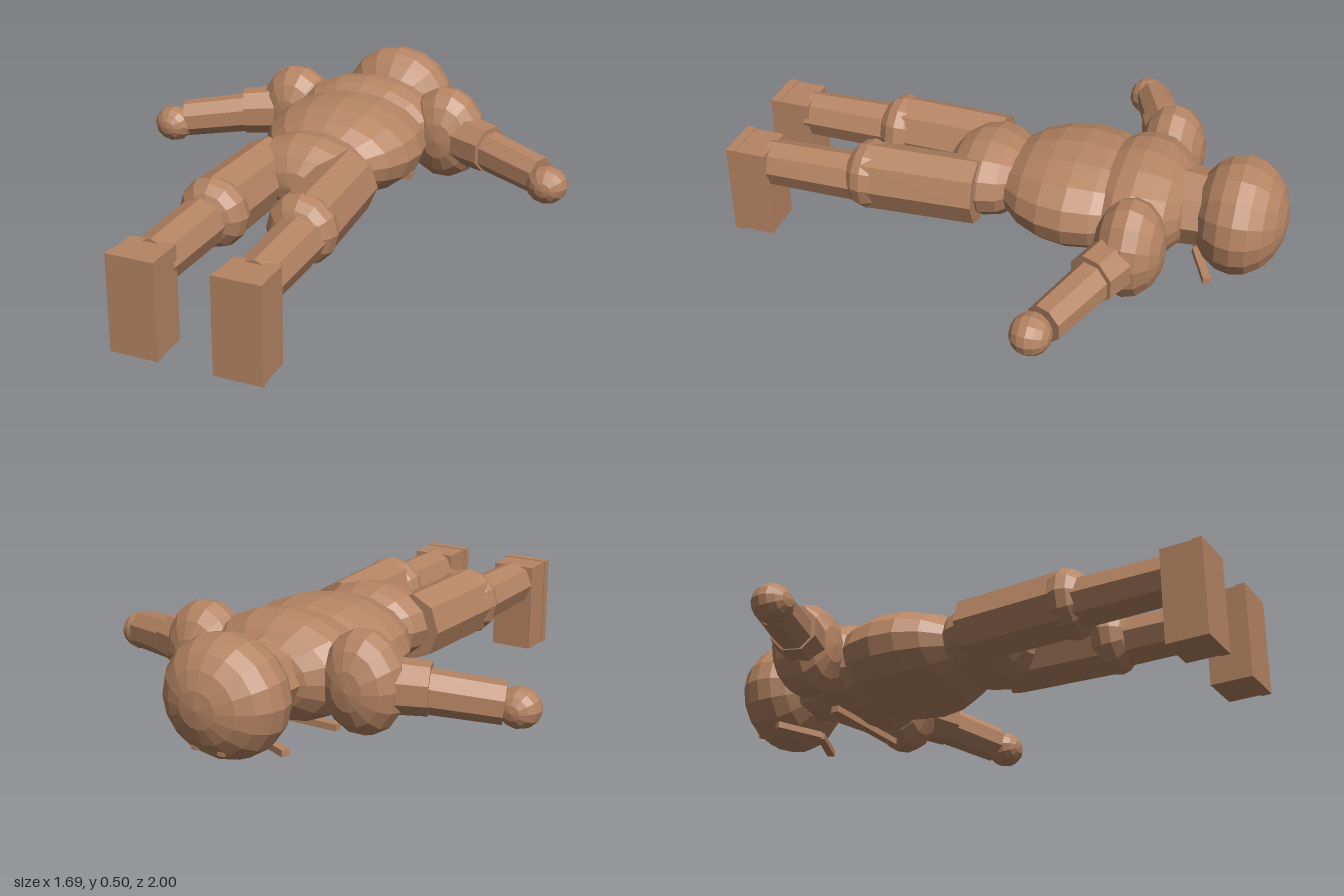
import * as THREE from 'three';

export function createModel() {
  const model = new THREE.Group();
  model.name = 'lyingFigure';
  const clay = new THREE.MeshStandardMaterial({ color: 0xb58463, flatShading: true });
  clay.name = 'brown clay';

  function add(name, geometry, x, y, z) {
    const mesh = new THREE.Mesh(geometry, clay);
    mesh.name = name;
    mesh.position.set(x, y, z);
    model.add(mesh);
    return mesh;
  }
  // Faceted ellipsoid with its poles along the body (z)
  function ball(name, c, r, w = 16, h = 10) {
    const g = new THREE.SphereGeometry(1, w, h);
    g.rotateX(Math.PI / 2);
    g.scale(...r);
    return add(name, g, ...c);
  }
  // Eight-sided limb section from point a to point b
  function limb(name, a, b, ra, rb, stretchY = 1) {
    const A = new THREE.Vector3(...a), B = new THREE.Vector3(...b);
    const dir = B.clone().sub(A);
    const g = new THREE.CylinderGeometry(rb, ra, dir.length(), 8);
    g.applyQuaternion = null;
    const q = new THREE.Quaternion().setFromUnitVectors(new THREE.Vector3(0, 1, 0), dir.normalize());
    g.applyMatrix4(new THREE.Matrix4().makeRotationFromQuaternion(q));
    g.scale(1, stretchY, 1);
    const m = A.add(B).multiplyScalar(0.5);
    return add(name, g, m.x, m.y, m.z);
  }
  const box = (name, size, c) => add(name, new THREE.BoxGeometry(...size), ...c);

  // Head and torso
  ball('head', [0, 0.292, -0.835], [0.222, 0.208, 0.165]);
  limb('neck', [0, 0.295, -0.6], [0, 0.295, -0.72], 0.16, 0.15, 0.85);
  ball('chest', [0, 0.297, -0.49], [0.3, 0.19, 0.195]);
  ball('belly', [0, 0.297, -0.27], [0.302, 0.176, 0.3]);
  ball('hips', [0, 0.297, 0.06], [0.222, 0.147, 0.165], 14, 8);

  // Bar across the chest, on the underside
  box('chestBar', [0.38, 0.024, 0.03], [0, 0.105, -0.485]);

  for (const s of [-1, 1]) {
    // Face
    const mouth = box('mouthHalf', [0.185, 0.024, 0.028], [s * 0.086, 0.108, -0.728]);
    mouth.rotation.y = s * 0.42;
    box('eye', [0.025, 0.02, 0.02], [s * 0.05, 0.145, -0.935]);

    // Arms
    ball('shoulder', [s * 0.312, 0.297, -0.52], [0.15, 0.18, 0.122], 14, 8);
    limb('upperArm', [s * 0.33, 0.295, -0.515], [s * 0.51, 0.287, -0.44], 0.095, 0.088, 1.02);
    limb('forearm', [s * 0.49, 0.28, -0.45], [s * 0.73, 0.253, -0.35], 0.073, 0.068, 1.05);
    ball('hand', [s * 0.767, 0.235, -0.32], [0.077, 0.07, 0.07], 12, 8);

    // Legs
    limb('thigh', [s * 0.152, 0.292, 0.07], [s * 0.168, 0.288, 0.48], 0.112, 0.115, 1.1);
    ball('knee', [s * 0.163, 0.287, 0.478], [0.127, 0.127, 0.088], 12, 8);
    limb('shin', [s * 0.176, 0.275, 0.48], [s * 0.18, 0.27, 0.87], 0.09, 0.085);

    // Feet pointing down, each with a slightly wider sole
    box('foot', [0.164, 0.34, 0.12], [s * 0.183, 0.172, 0.91]);
    box('sole', [0.172, 0.345, 0.035], [s * 0.183, 0.1725, 0.9825]);
  }
  return model;
}
